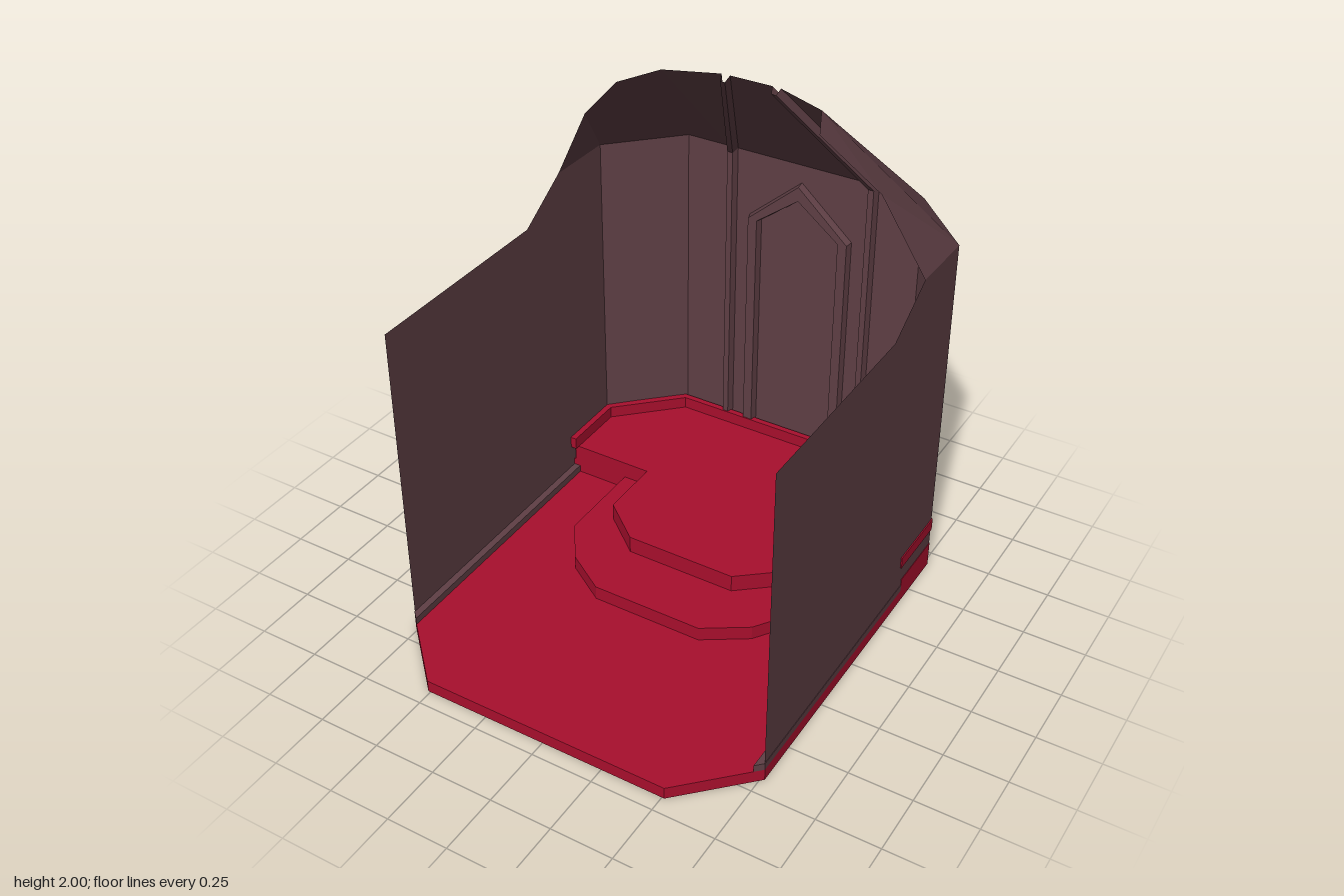
import * as THREE from 'three';

const stone = new THREE.MeshStandardMaterial({ color: 0x5f3f45, side: THREE.DoubleSide, flatShading: true });
const red = new THREE.MeshStandardMaterial({ color: 0xa80f2d, side: THREE.DoubleSide, flatShading: true });
const BACK = -0.935, DEPTH = 0.03;

export function createModel() {
  const group = new THREE.Group();
  const add = (name, geo, mat) => {
    const mesh = new THREE.Mesh(geo, mat);
    mesh.name = name;
    group.add(mesh);
    return mesh;
  };
  // thin surface from convex corner loops
  const surface = (name, polys, mat = stone) => {
    const pos = [];
    for (const p of polys)
      for (let i = 1; i < p.length - 1; i++) pos.push(...p[0], ...p[i], ...p[i + 1]);
    const geo = new THREE.BufferGeometry();
    geo.setAttribute('position', new THREE.Float32BufferAttribute(pos, 3));
    geo.computeVertexNormals();
    return add(name, geo, mat);
  };
  const shapeOf = (pts) => new THREE.Shape(pts.map(([x, y]) => new THREE.Vector2(x, y)));
  // flat slab from a plan outline of [x, z]
  const slab = (name, plan, y0, y1, mat = red) => {
    const geo = new THREE.ExtrudeGeometry(shapeOf(plan.map(([x, z]) => [x, -z])), { depth: y1 - y0, bevelEnabled: false });
    geo.rotateX(-Math.PI / 2).translate(0, y0, 0);
    return add(name, geo, mat);
  };
  // complete a right-to-left symmetric outline from its +x half
  const mirrored = (half) => [...half, ...half.slice().reverse().map(([x, z]) => [-x, z])];

  // floor, platform and steps
  slab('floor', mirrored([[0.51, BACK], [0.765, -0.68], [0.765, 0.68], [0.51, 0.935]]), 0, 0.05);
  slab('lowerStep', mirrored([[0.51, BACK], [0.765, -0.68], [0.765, -0.42], [0.51, -0.42],
    [0.51, -0.04], [0.4, 0.12], [0.23, 0.23]]), 0.05, 0.108);
  slab('upperStep', mirrored([[0.51, BACK], [0.762, -0.68], [0.755, -0.42], [0.4, -0.42],
    [0.4, -0.16], [0.23, -0.02]]), 0.108, 0.18);

  // skirting rim around the back of the room
  const rimOuter = mirrored([[0.768, -0.4], [0.768, -0.68], [0.512, -0.925]]);
  const rimInner = mirrored([[0.738, -0.4], [0.738, -0.67], [0.5, -0.9]]);
  slab('skirtingRim', [...rimOuter, ...rimInner.reverse()], 0.18, 0.23);

  for (const s of [1, -1]) {
    const X = 0.763 * s;
    // side and diagonal walls
    surface('sideWall', [[[X, 1.34, -0.17], [X, 1.48, -0.39], [X, 1.475, -0.68], [X, 0.1, -0.68],
      [X, 0.1, -0.42], [X, 0.05, -0.42], [X, 0.05, 0.68], [X, 1.34, 0.68]]]);
    surface('diagonalWall', [[[X, 0.18, -0.68], [X, 1.475, -0.68], [0.51 * s, 1.475, BACK], [0.51 * s, 0.18, BACK]]]);
    slab('baseTrim', [[0.765 * s, -0.42], [0.765 * s, 0.68], [0.735 * s, 0.71], [0.735 * s, -0.42]], 0.05, 0.08, stone);

    // outer strip of the back wall beside the rib
    surface('backWallSide', [[[0.325 * s, 0.18, BACK], [0.51 * s, 0.18, BACK], [0.51 * s, 1.475, BACK], [0.325 * s, 1.475, BACK]]]);

    // roof: side, diagonal and back facets
    const A = [X, 1.48, -0.39], M = [0.6 * s, 1.79, -0.34], T = [0.4 * s, 2, -0.25];
    const R = [0.32 * s, 2, -0.42], B = [X, 1.475, -0.68], C = [0.51 * s, 1.475, BACK];
    surface('roofSide', [[A, B, M], [M, B, R], [M, R, T]]);
    surface('roofDiagonal', [[B, C, R]]);
    surface('roofBackSide', [[C, [0.325 * s, 1.475, BACK], R], [[0.325 * s, 1.475, BACK], [0.12 * s, 2, -0.5], R]]);

    // rib: a channel pushed inward, up the wall and over the roof
    const rows = [[0.18, BACK, 0.285, 0.325, 0, DEPTH], [1.475, BACK, 0.285, 0.325, -0.01, DEPTH],
      [2, -0.502, 0.085, 0.12, -0.019, 0.023]].map(([y, z, a, b, dy, dz]) => [
      [a * s, y, z], [(a + 0.008) * s, y + dy, z + dz], [(b - 0.008) * s, y + dy, z + dz], [b * s, y, z]]);
    const quads = [];
    for (let r = 0; r < 2; r++)
      for (let i = 0; i < 3; i++) quads.push([rows[r][i], rows[r][i + 1], rows[r + 1][i + 1], rows[r + 1][i]]);
    surface('rib', quads);
  }
  surface('roofBack', [[[-0.285, 1.475, BACK], [0.285, 1.475, BACK], [0.085, 2, -0.502], [-0.085, 2, -0.502]]]);

  // back wall with a pointed arch band pushed inward
  const arch = (e) => [[0.225 - e, 0.185], [0.225 - e, 1.2 - e / 2], [0, 1.4 - e], [-0.225 + e, 1.2 - e / 2], [-0.225 + e, 0.185],
    [-0.172 - e, 0.185], [-0.172 - e, 1.19 + e / 2], [0, 1.325 + e], [0.172 + e, 1.19 + e / 2], [0.172 + e, 0.185]];
  const wall = shapeOf([[-0.285, 0.18], [0.285, 0.18], [0.285, 1.475], [-0.285, 1.475]]);
  wall.holes.push(shapeOf(arch(0)));
  add('backWall', new THREE.ShapeGeometry(wall).translate(0, 0, BACK), stone);
  const rim = arch(0), cap = arch(0.007);
  add('archFace', new THREE.ShapeGeometry(shapeOf(cap)).translate(0, 0, BACK + DEPTH), stone);
  surface('archSides', rim.map((p, i) => {
    const j = (i + 1) % rim.length;
    return [[...p, BACK], [...rim[j], BACK], [...cap[j], BACK + DEPTH], [...cap[i], BACK + DEPTH]];
  }));
  return group;
}
